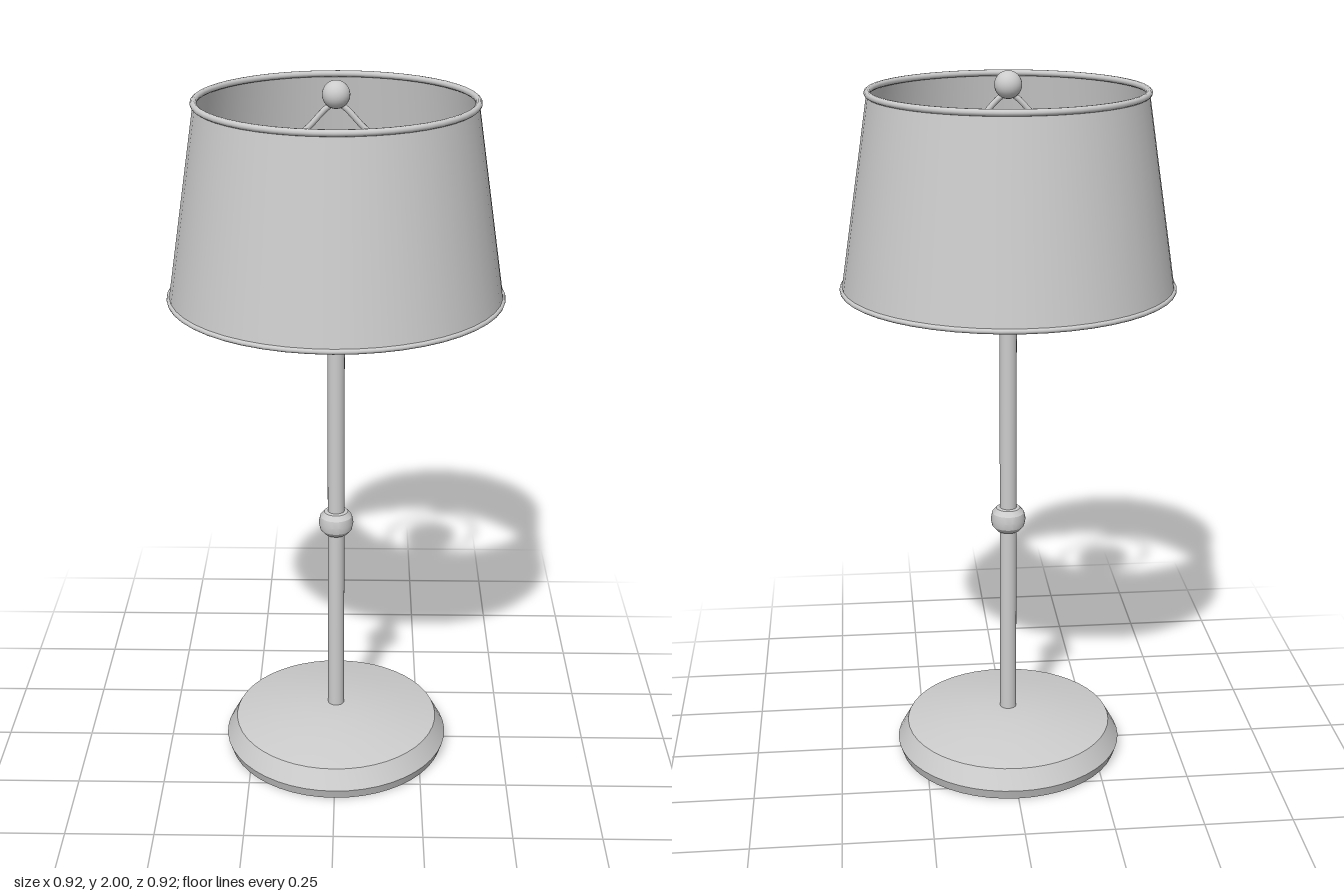
import * as THREE from 'three';
import { toCreasedNormals } from 'three/addons/utils/BufferGeometryUtils.js';

export function createModel() {
  const lamp = new THREE.Group();
  lamp.name = 'tableLamp';

  const grey = new THREE.MeshStandardMaterial({ color: 0xcccccc });
  grey.name = 'light grey';
  const greySheet = new THREE.MeshStandardMaterial({ color: 0xcccccc, side: THREE.DoubleSide });
  greySheet.name = 'light grey sheet';

  const add = (name, geometry, y = 0, material = grey) => {
    const mesh = new THREE.Mesh(geometry, material);
    mesh.name = name;
    mesh.position.y = y;
    lamp.add(mesh);
    return mesh;
  };
  // Profile of [radius, height] pairs, from bottom to top
  const turned = (points, segments = 48) => toCreasedNormals(
    new THREE.LatheGeometry(points.map(([r, y]) => new THREE.Vector2(r, y)), segments), 0.5);

  // Weighted foot with a chamfered edge and a shallow dome
  add('base', turned([
    [0, 0], [0.32, 0], [0.33, 0.03], [0.3, 0.085],
    [0.2, 0.106], [0.1, 0.12], [0, 0.125],
  ]));

  // Stem and its decorative bead
  add('stem', new THREE.CylinderGeometry(0.024, 0.024, 1.37, 24), 0.785);
  add('stemBead', turned([
    [0.022, -0.036], [0.034, -0.034], [0.046, -0.02], [0.05, 0],
    [0.046, 0.02], [0.034, 0.034], [0.022, 0.036],
  ], 32), 0.73);

  // Socket and bulb
  add('socket', turned([
    [0, 1.455], [0.062, 1.455], [0.062, 1.485], [0.064, 1.485],
    [0.064, 1.6], [0, 1.6],
  ], 32));
  add('bulb', new THREE.SphereGeometry(0.092, 32, 20), 1.67);

  // Wire harp that loops around the bulb up to the finial
  const half = [[0.05, 1.5], [0.125, 1.57], [0.16, 1.68], [0.135, 1.81], [0.07, 1.88]];
  const harpPoints = [
    ...half.map(([x, y]) => new THREE.Vector3(-x, y, 0)),
    new THREE.Vector3(0, 1.94, 0),
    ...half.slice().reverse().map(([x, y]) => new THREE.Vector3(x, y, 0)),
  ];
  add('harp', new THREE.TubeGeometry(new THREE.CatmullRomCurve3(harpPoints), 64, 0.008, 10));
  add('finial', new THREE.SphereGeometry(0.037, 24, 16), 1.963);

  // Open tapered shade with a rolled rim at each end
  add('shade', new THREE.CylinderGeometry(0.372, 0.454, 0.53, 48, 1, true), 1.683, greySheet);
  for (const [name, radius, tube, y] of [
    ['shadeTopRim', 0.371, 0.009, 1.946],
    ['shadeBottomRim', 0.453, 0.007, 1.42],
  ]) {
    add(name, new THREE.TorusGeometry(radius, tube, 10, 48).rotateX(Math.PI / 2), y);
  }

  return lamp;
}
